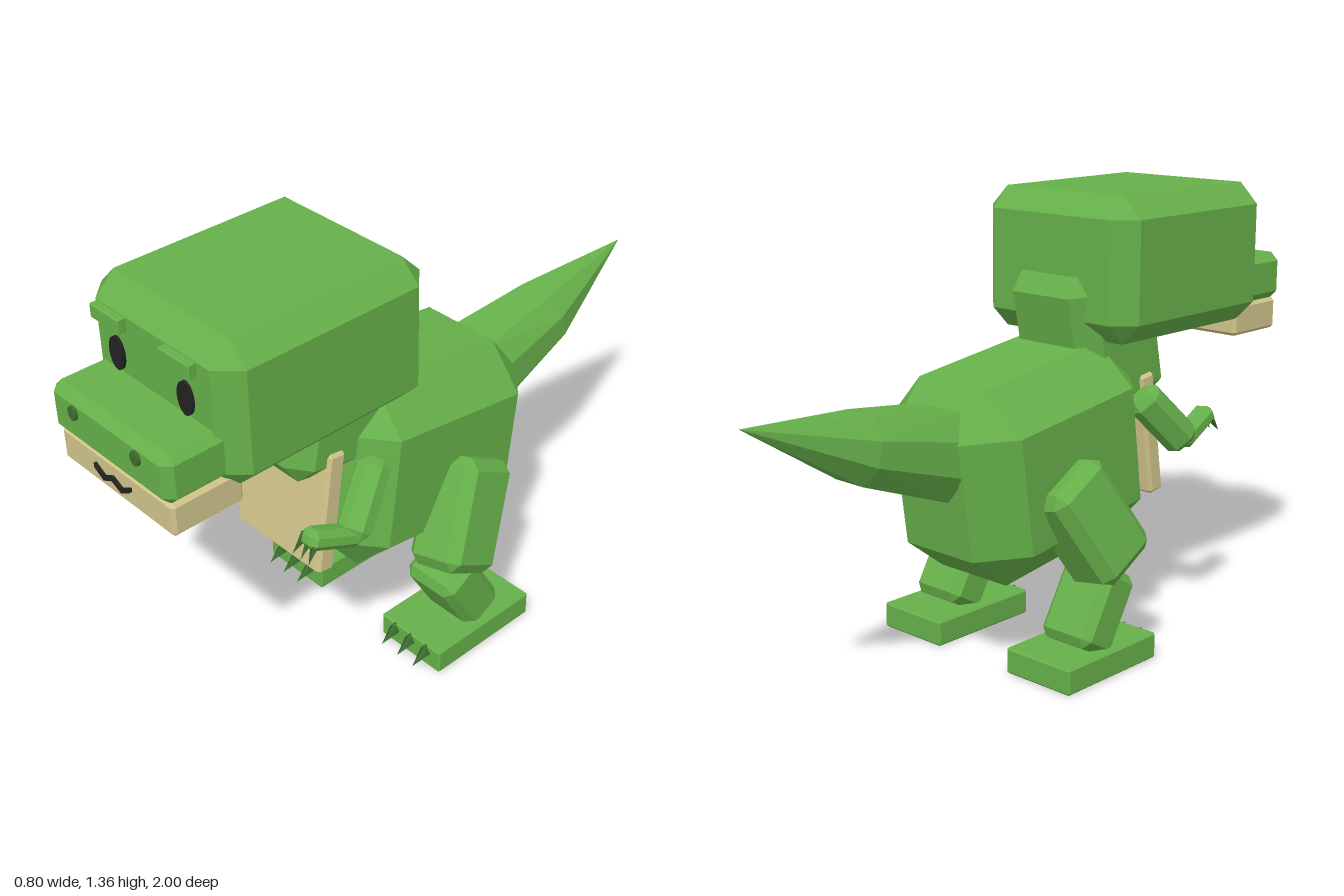
import * as THREE from 'three';
import { ConvexGeometry } from 'three/addons/geometries/ConvexGeometry.js';

const material = (name, color) => {
  const m = new THREE.MeshStandardMaterial({ color });
  m.name = name;
  return m;
};

// Box with flat bevelled edges and triangular corners
function bevelBox(w, h, d, c) {
  const pts = [];
  const [x, y, z] = [w / 2, h / 2, d / 2];
  for (const i of [-1, 1]) for (const j of [-1, 1]) for (const k of [-1, 1]) {
    pts.push(
      new THREE.Vector3(i * x, j * (y - c), k * (z - c)),
      new THREE.Vector3(i * (x - c), j * y, k * (z - c)),
      new THREE.Vector3(i * (x - c), j * (y - c), k * z)
    );
  }
  return new ConvexGeometry(pts);
}

// Octagonal cross-section facing along z
function section(y, z, w, h, fx, fy, tilt) {
  const out = [];
  for (const i of [-1, 1]) for (const j of [-1, 1]) {
    out.push(new THREE.Vector3(i * w, y + j * fy, z + j * fy * tilt));
    out.push(new THREE.Vector3(i * fx, y + j * h, z + j * h * tilt));
  }
  return out;
}

export function createModel() {
  const model = new THREE.Group();
  model.name = 'dinosaur';
  const green = material('skin green', 0x66b04a);
  const tan = material('belly tan', 0xd2c58c);
  const dark = material('claw green', 0x3d6e30);
  const black = material('eye black', 0x222222);

  const add = (name, geometry, mat, pos = [0, 0, 0], rot = [0, 0, 0]) => {
    const mesh = new THREE.Mesh(geometry, mat);
    mesh.name = name;
    mesh.position.set(...pos);
    mesh.rotation.set(...rot);
    model.add(mesh);
    return mesh;
  };
  const up = new THREE.Vector3(0, 1, 0);
  // Place a y-aligned geometry of the span's length between two points
  const span = (name, make, mat, a, b) => {
    const p = new THREE.Vector3(...a), q = new THREE.Vector3(...b);
    const dir = q.clone().sub(p);
    const mesh = add(name, make(dir.length()), mat);
    mesh.position.copy(p).add(q).multiplyScalar(0.5);
    mesh.quaternion.setFromUnitVectors(up, dir.normalize());
  };
  const claw = (r) => (len) => new THREE.ConeGeometry(r, len, 4).toNonIndexed();
  const disc = (rx, ry, t) => {
    const g = new THREE.CylinderGeometry(1, 1, t, 20);
    return g.rotateX(Math.PI / 2).scale(rx, ry, 1);
  };

  // Head
  add('head', bevelBox(0.585, 0.43, 0.69, 0.063), green, [0, 1.145, 0.485]);
  add('snout', bevelBox(0.49, 0.15, 0.3, 0.026), green, [0, 1.046, 0.84]);
  add('jaw', bevelBox(0.47, 0.1, 0.22, 0.01), tan, [0, 0.924, 0.865]);

  // Zigzag mouth
  const zig = [[-0.075, 0.941], [-0.037, 0.919], [0, 0.937], [0.037, 0.919], [0.075, 0.941]];
  const mouth = new THREE.Shape();
  zig.forEach(([x, y], i) => (i ? mouth.lineTo(x, y + 0.007) : mouth.moveTo(x, y + 0.007)));
  zig.slice().reverse().forEach(([x, y]) => mouth.lineTo(x, y - 0.007));
  add('mouth', new THREE.ExtrudeGeometry(mouth, { depth: 0.009, bevelEnabled: false }),
    black, [0, 0, 0.98]);

  // Torso and tail
  add('neck', bevelBox(0.34, 0.47, 0.365, 0.06), green, [0, 0.926, 0.314], [-0.2, 0, 0]);
  add('body', bevelBox(0.51, 0.598, 0.724, 0.123), green, [0, 0.594, 0.013], [-0.135, 0, 0]);
  add('bellyPlate', bevelBox(0.36, 0.39, 0.062, 0.01), tan, [0, 0.612, 0.42], [-0.15, 0, 0]);
  add('tail', new ConvexGeometry([
    ...section(0.67, -0.33, 0.13, 0.125, 0.08, 0.05, 0.25),
    ...section(0.742, -0.625, 0.103, 0.093, 0.055, 0.035, 0.25),
    new THREE.Vector3(0, 0.865, -1)
  ]), green);

  for (const s of [1, -1]) {
    const side = s > 0 ? 'left' : 'right';

    // Face details
    add(side + 'Eye', disc(0.03, 0.049, 0.009), black, [s * 0.14, 1.181, 0.84]);
    add(side + 'Nostril', disc(0.017, 0.021, 0.009), dark, [s * 0.131, 1.075, 0.9955]);
    add(side + 'Brow', bevelBox(0.12, 0.042, 0.025, 0.003), green, [s * 0.14, 1.292, 0.856]);

    // Arm
    const elbow = [s * 0.285, 0.6, 0.445];
    span(side + 'UpperArm', (l) => bevelBox(0.095, l, 0.105, 0.025), green,
      [s * 0.225, 0.765, 0.295], elbow);
    span(side + 'Forearm', (l) => bevelBox(0.07, l, 0.06, 0.018), green,
      [s * 0.285, 0.605, 0.42], [s * 0.26, 0.667, 0.585]);
    for (const k of [-1, 0, 1]) {
      span(side + 'HandClaw', claw(0.015), dark,
        [s * (0.26 + k * 0.02), 0.665, 0.565], [s * (0.26 + k * 0.033), 0.607, 0.606]);
    }

    // Leg
    add(side + 'Thigh', bevelBox(0.185, 0.34, 0.22, 0.032), green,
      [s * 0.275, 0.447, 0.005], [-0.52, 0, s * 0.24]);
    add(side + 'Shin', bevelBox(0.187, 0.25, 0.145, 0.025), green,
      [s * 0.267, 0.182, 0.022], [0.53, 0, 0]);
    add(side + 'Foot', bevelBox(0.245, 0.08, 0.39, 0.006), green, [s * 0.2625, 0.04, 0.002]);
    for (const k of [-1, 0, 1]) {
      const x = s * (0.2625 + k * 0.066);
      span(side + 'ToeClaw', claw(0.024), dark, [x, 0.06, 0.185], [x, 0.027, 0.252]);
    }
  }
  return model;
}
